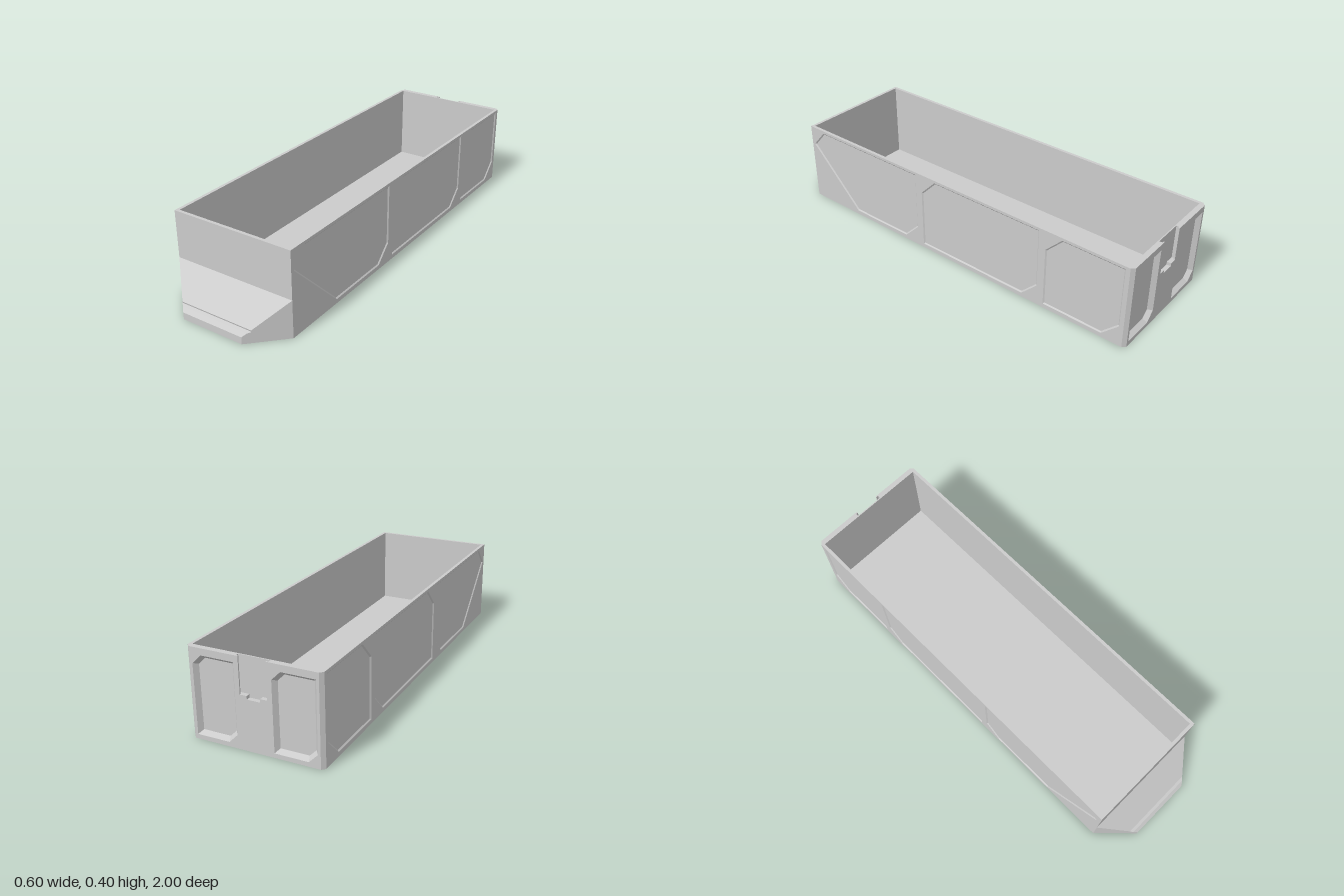
import * as THREE from 'three';

const solid = new THREE.MeshStandardMaterial({ color: 0xcccccc, flatShading: true });
const thin = new THREE.MeshStandardMaterial({ color: 0xcccccc, flatShading: true, side: THREE.DoubleSide });

function add(parent, name, geometry, material = solid) {
  const mesh = new THREE.Mesh(geometry, material);
  mesh.name = name;
  parent.add(mesh);
  return mesh;
}

// Box given by its minimum and maximum corners
function block(parent, name, [x0, y0, z0], [x1, y1, z1]) {
  const mesh = add(parent, name, new THREE.BoxGeometry(x1 - x0, y1 - y0, z1 - z0));
  mesh.position.set((x0 + x1) / 2, (y0 + y1) / 2, (z0 + z1) / 2);
}

// Faceted surface joining successive cross-sections of equal length
function loft(sections, closed = false) {
  const pos = [];
  for (let i = 0; i < sections.length - 1; i++) {
    const a = sections[i], b = sections[i + 1], n = a.length;
    for (let j = 0; j < (closed ? n : n - 1); j++) {
      const k = (j + 1) % n;
      pos.push(...a[j], ...b[j], ...b[k], ...a[j], ...b[k], ...a[k]);
    }
  }
  const g = new THREE.BufferGeometry();
  g.setAttribute('position', new THREE.Float32BufferAttribute(pos, 3));
  g.computeVertexNormals();
  return g;
}

// Shrinks a convex outline by distance d
function inset(points, d) {
  const p = points.map(([x, y]) => new THREE.Vector2(x, y));
  const sign = THREE.ShapeUtils.isClockWise(p) ? -1 : 1;
  return p.map((b, i) => {
    const a = p[(i + p.length - 1) % p.length], c = p[(i + 1) % p.length];
    const u = b.clone().sub(a).normalize(), v = c.clone().sub(b).normalize();
    const n1 = new THREE.Vector2(-u.y, u.x), n2 = new THREE.Vector2(-v.y, v.x);
    const m = n1.clone().add(n2).multiplyScalar((sign * d) / (1 + n1.dot(n2)));
    return [b.x + m.x, b.y + m.y];
  });
}

// Plate whose outer face is at z = 0, with bevel-sided recesses going to +z
function recessedPlate(name, outline, recesses, depth, bevel) {
  const group = new THREE.Group();
  group.name = name;
  const vec = pts => pts.map(([x, y]) => new THREE.Vector2(x, y));
  const shape = new THREE.Shape(vec(outline));
  recesses.forEach(r => shape.holes.push(new THREE.Path(vec(r))));
  add(group, 'plate', new THREE.ExtrudeGeometry(shape, { depth, bevelEnabled: false }));
  recesses.forEach(r => add(group, 'recessBevel', loft([
    r.map(([x, y]) => [x, y, 0]),
    inset(r, bevel).map(([x, y]) => [x, y, depth]),
  ], true), thin));
  return group;
}

export function createModel() {
  const model = new THREE.Group();
  model.name = 'openBin';

  // Tray core
  block(model, 'floor', [-0.295, 0, -0.98], [0.295, 0.02, 0.855]);
  block(model, 'frontWall', [-0.295, 0, 0.84], [0.295, 0.4, 0.855]);
  block(model, 'backWallCore', [-0.29, 0, -0.98], [0.29, 0.4, -0.975]);

  // Side panels as (z, y) outlines
  const panels = [
    [[0.84, 0.305], [0.765, 0.387], [0.14, 0.387], [0.14, 0.1], [0.22, 0.02], [0.555, 0.02]],
    [[0.105, 0.305], [0.025, 0.387], [-0.555, 0.387], [-0.555, 0.1], [-0.475, 0.02], [0.105, 0.02]],
    [[-0.59, 0.305], [-0.67, 0.387], [-0.965, 0.387], [-0.965, 0.1], [-0.885, 0.02], [-0.59, 0.02]],
  ];
  const sideOutline = [[-0.975, 0], [0.855, 0], [0.855, 0.4], [-0.975, 0.4]];
  for (const s of [1, -1]) {
    const flip = pts => pts.map(([z, y]) => [s * z, y]);
    const side = s > 0 ? 'left' : 'right';
    const inner = s * 0.285, outer = s * 0.295;
    block(model, side + 'WallCore', [Math.min(inner, outer), 0, -0.975], [Math.max(inner, outer), 0.4, 0.85]);
    const plate = recessedPlate(side + 'WallPanels', flip(sideOutline), panels.map(flip), 0.005, 0.006);
    plate.rotation.y = -s * Math.PI / 2;
    plate.position.x = s * 0.3;
    model.add(plate);

    // Chamfered rear corner post
    const post = new THREE.Shape([[0.285, 0.975], [0.3, 0.975], [0.3, 0.985], [0.285, 1]]
      .map(([x, z]) => new THREE.Vector2(s * x, z)));
    const postMesh = add(model, side + 'RearCorner', new THREE.ExtrudeGeometry(post, { depth: 0.4, bevelEnabled: false }));
    postMesh.rotation.x = -Math.PI / 2;

    // Lip along the edge of the rear slot
    block(model, side + 'SlotLip', [s * 0.066 - 0.005, 0.24, -1], [s * 0.066 + 0.005, 0.4, -0.994]);
  }

  // Rear plate with two pockets and a slot open at the top
  const half = [[0.285, 0], [0.285, 0.4], [0.071, 0.4], [0.071, 0.24], [0.03, 0.24], [0.03, 0.225]];
  const rearOutline = [...half, ...half.map(([x, y]) => [-x, y]).reverse()];
  const pocket = [[0.095, 0.33], [0.055, 0.37], [-0.095, 0.37], [-0.095, 0.06], [-0.055, 0.02], [0.095, 0.02]];
  const pockets = [-0.178, 0.178].map(cx => pocket.map(([x, y]) => [x + cx, y]));
  const rear = recessedPlate('rearPlate', rearOutline, pockets, 0.02, 0.016);
  rear.position.z = -1;
  model.add(rear);

  // Hollow front nose: rows of [y, z]; width narrows at 45 degrees
  const nose = new THREE.Group();
  nose.name = 'nose';
  model.add(nose);
  const section = width => ([y, z]) => {
    const w = width - (z - 0.855);
    return [[w, 0, z], [w, y, z], [-w, y, z], [-w, 0, z]];
  };
  const outerRows = [[0.177, 0.855], [0.06, 0.972], [0.053, 0.97], [0.047, 0.985], [0.033, 1], [0, 1]];
  const innerRows = [[0.153, 0.855], [0.023, 0.985], [0, 0.985]];
  add(nose, 'noseOuter', loft(outerRows.map(section(0.3))), thin);
  add(nose, 'noseInner', loft(innerRows.map(section(0.28))), thin);
  const rim = (w, z) => {
    const e = w - (z - 0.855);
    return [[w, 0, 0.855], [e, 0, z], [-e, 0, z], [-w, 0, 0.855]];
  };
  add(nose, 'noseBottomRim', loft([rim(0.3, 1), rim(0.28, 0.985)]), thin);

  return model;
}
